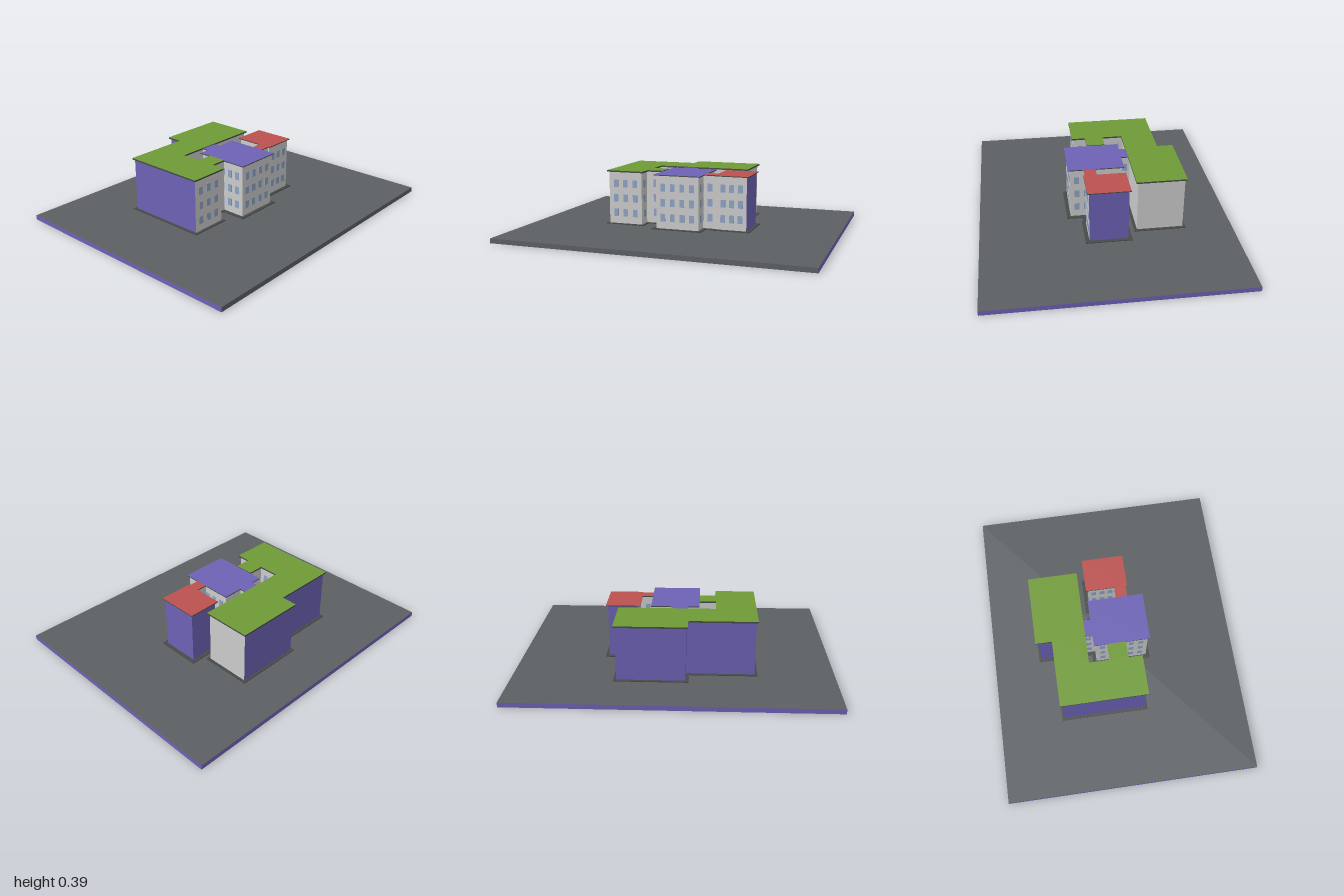
import * as THREE from 'three';

const mat = (color) => new THREE.MeshStandardMaterial({ color, side: THREE.DoubleSide });
const GREY = mat(0xcccccc), VIOLET = mat(0x6c62b5), DARK = mat(0x5c6063), RIM = mat(0x474b48);
const GREEN = mat(0x6f9a36), RED = mat(0xbb5250), GLASS = mat(0x8da3c4);
const GROUND = 0.03, WALL_TOP = 0.38, OPEN = -1;

// Clockwise plans: [x, z, window columns on the edge that starts here, violet wall?]
const wings = [
  { name: 'mainWing', roof: GREEN, top: 0.39, plan: [
    [-0.515, -0.395, 0, 1], [-0.09, -0.395, 0, 1], [-0.09, -0.5, 0, 1], [0.36, -0.5, 0],
    [0.36, -0.18, 0], [-0.26, -0.18, 2], [-0.26, -0.05, 1], [-0.155, -0.05, OPEN],
    [-0.155, 0.07, 1], [-0.26, 0.07, 1], [-0.26, 0.16, 3], [-0.515, 0.16, 0, 1]] },
  { name: 'centreWing', roof: VIOLET, top: 0.386, plan: [
    [-0.085, -0.185, OPEN], [0.025, -0.185, 1], [0.025, -0.135, 2], [0.155, -0.135, 5],
    [0.155, 0.225, 4], [-0.155, 0.225, 5], [-0.155, -0.135, 1], [-0.085, -0.135, 1]] },
  { name: 'sideWing', roof: RED, top: 0.386, plan: [
    [0.225, -0.135, 0, 1], [0.445, -0.135, 0, 1], [0.445, 0.135, 3], [0.225, 0.135, 0],
    [0.225, 0.125, 1], [0.155, 0.125, OPEN], [0.155, 0.05, 1], [0.225, 0.05, 3]] },
];

// Outward normal of the edge starting at corner i
function normal(plan, i) {
  const a = plan[i], b = plan[(i + 1) % plan.length];
  const dx = b[0] - a[0], dz = b[1] - a[1], l = Math.hypot(dx, dz);
  return [dz / l, -dx / l];
}

// Move every edge outward by d; open edges run on into the neighbouring wing
function offset(plan, d, openD = d) {
  const n = plan.length;
  return plan.map((p, i) => {
    const j = (i + n - 1) % n, a = normal(plan, j), b = normal(plan, i);
    const da = plan[j][2] === OPEN ? openD : d, db = p[2] === OPEN ? openD : d;
    return [p[0] + a[0] * da + b[0] * db, p[1] + a[1] * da + b[1] * db];
  });
}

function slab(name, points, y0, y1, capMat, sideMat) {
  const shape = new THREE.Shape(points.map(([x, z]) => new THREE.Vector2(x, -z)));
  const geo = new THREE.ExtrudeGeometry(shape, { depth: y1 - y0, bevelEnabled: false });
  geo.rotateX(-Math.PI / 2).translate(0, y0, 0);
  const mesh = new THREE.Mesh(geo, [capMat, sideMat]);
  mesh.name = name;
  return mesh;
}

// One wall with its three rows of windows, built facing +z and then turned
function wall(a, b, n, columns, material) {
  const group = new THREE.Group();
  const length = Math.hypot(b[0] - a[0], b[1] - a[1]);
  const face = new THREE.Mesh(new THREE.PlaneGeometry(length, WALL_TOP - GROUND), material);
  face.name = 'wallFace';
  face.position.y = (WALL_TOP + GROUND) / 2;
  group.add(face);
  const step = length / (columns + 0.4);
  for (let c = 0; c < columns; c++) {
    for (const y of [0.107, 0.205, 0.303]) {
      const pane = new THREE.Mesh(new THREE.BoxGeometry(0.032, 0.05, 0.003), GLASS);
      pane.name = 'window';
      pane.position.set((c - (columns - 1) / 2) * step, y, 0.0005);
      group.add(pane);
    }
  }
  group.name = 'wall';
  group.position.set((a[0] + b[0]) / 2, 0, (a[1] + b[1]) / 2);
  group.rotation.y = Math.atan2(n[0], n[1]);
  return group;
}

function wing({ name, roof, top, plan }) {
  const group = new THREE.Group();
  group.name = name;
  const corners = offset(plan, -0.012, 0.014);
  plan.forEach(([, , columns, violet], i) => {
    if (columns === OPEN) return;
    const next = corners[(i + 1) % corners.length];
    group.add(wall(corners[i], next, normal(plan, i), columns, violet ? VIOLET : GREY));
  });
  group.add(slab('roof', plan, WALL_TOP, top, roof, RIM));
  group.add(slab('plinth', offset(plan, name === 'mainWing' ? 0.006 : 0.012, 0), GROUND, GROUND + 0.005, RIM, RIM));
  return group;
}

export function createModel() {
  const model = new THREE.Group();
  model.name = 'buildingOnPlot';

  // Ground plate: dark top and front, violet elsewhere
  const plate = new THREE.Mesh(new THREE.BoxGeometry(2, GROUND, 1.61),
    [VIOLET, VIOLET, DARK, VIOLET, DARK, VIOLET]);
  plate.name = 'groundPlate';
  plate.position.y = GROUND / 2;
  model.add(plate);

  for (const w of wings) model.add(wing(w));
  return model;
}
